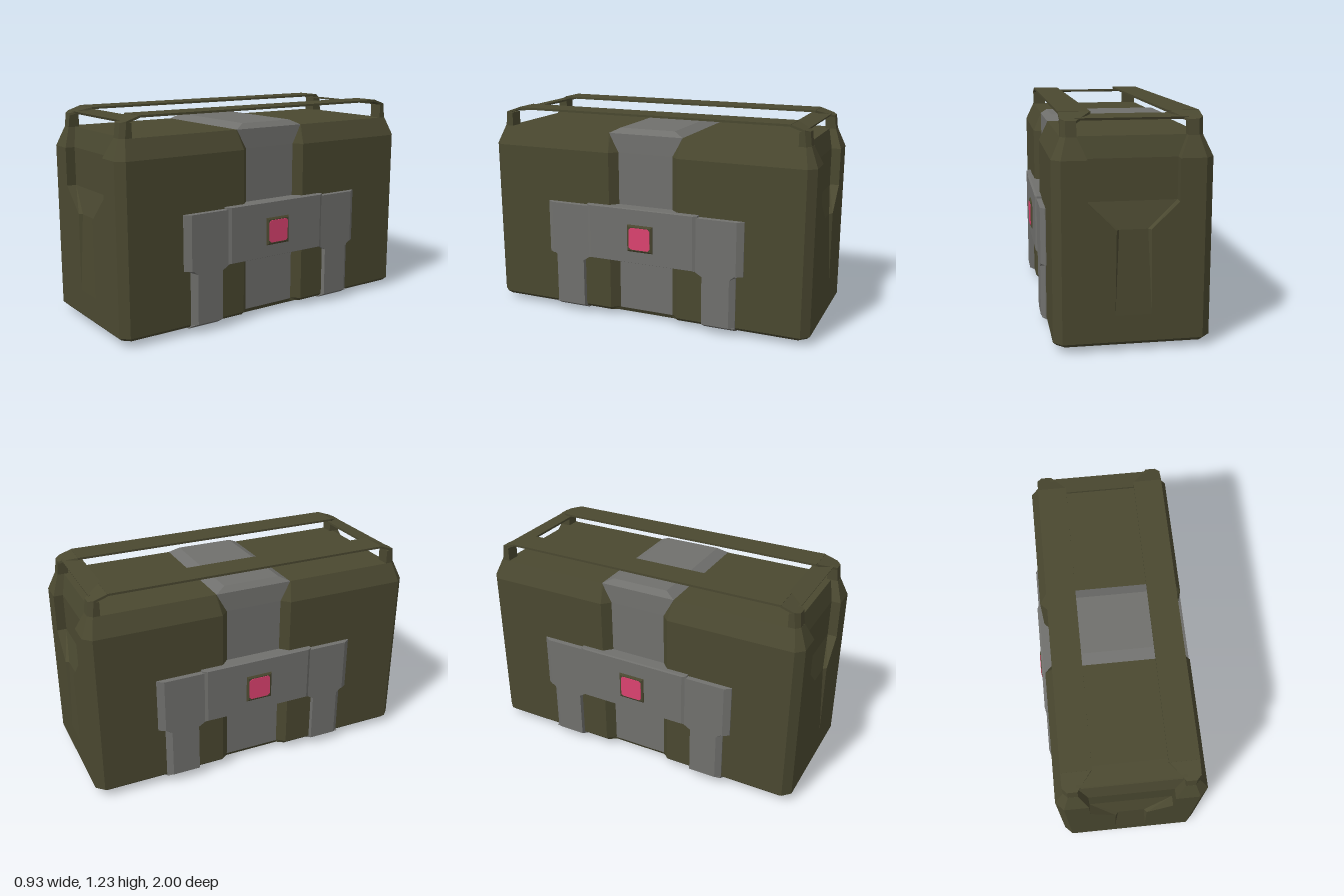
import * as THREE from 'three';
import { ConvexGeometry } from 'three/addons/geometries/ConvexGeometry.js';

const mat = (name, color) => Object.assign(new THREE.MeshStandardMaterial({ color }), { name });

export function createModel() {
  const olive = mat('olive shell', 0x4a4830);
  const grey = mat('grey metal', 0x70706d);
  const pink = mat('pink light', 0xdc4270);
  const model = new THREE.Group();

  const add = (name, geometry, material, parent = model) => {
    const mesh = new THREE.Mesh(geometry, material);
    mesh.name = name;
    parent.add(mesh);
    return mesh;
  };
  // Convex solid from corner points, mirrored by sx and sz
  const hull = (name, pts, material, sx = 1, sz = 1) =>
    add(name, new ConvexGeometry(pts.map(([x, y, z]) => new THREE.Vector3(x * sx, y, z * sz))), material);
  // Frustum between two rectangles stacked in y: [y, halfX, halfZ]
  const slab = (name, levels, material) => hull(name, levels.flatMap(([y, x, z]) =>
    [[x, y, z], [-x, y, z], [x, y, -z], [-x, y, -z]]), material);
  // Plate on the side: rectangle rows [x, y0, y1, z0, z1], from inside to outside
  const sidePlate = (name, rows, material, sx, sz = 1) => hull(name, rows.flatMap(([x, y0, y1, z0, z1]) =>
    [[x, y0, z0], [x, y1, z0], [x, y0, z1], [x, y1, z1]]), material, sx, sz);

  // Shell half: one quarter of the skin, mirrored in x
  const pos = [];
  const tri = (...p) => p.forEach(v => pos.push(...v));
  const poly = (...p) => {
    for (let i = 1; i < p.length - 1; i++) {
      const t = [p[0], p[i], p[i + 1]];
      tri(...t);
      tri(...t.map(([x, y, z]) => [-x, y, z]).reverse());
    }
  };
  // Levels: y, half width, end z, corner cut, notch x, notch z, notch lip z
  const rings = [
    [0.035, 0.395, 0.98, 0.04, 0.365, 0.17, 0.215],
    [0.055, 0.415, 1.0, 0.045, 0.37, 0.17, 0.215],
    [1.01, 0.415, 1.0, 0.045, 0.37, 0.17, 0.215],
    [1.12, 0.365, 0.955, 0.025, 0.36, 0.225, 0.235],
  ].map(([y, hx, hz, c, nx, nz, lip]) => [[nx, y, nz], [hx, y, lip], [hx, y, hz - c], [hx - c, y, hz]]);
  for (let l = 0; l < 3; l++) for (let k = 0; k < 3; k++)
    poly(rings[l][k + 1], rings[l][k], rings[l + 1][k], rings[l + 1][k + 1]);
  const [b, a0, a1, a2] = rings.map(r => r[3]);
  // Recess outline (r), recess floor (i) and shallow groove (g) on the end
  const r0 = [0.09, 0.65, 1], r1 = [0.235, 0.79, 1], r2 = [0.235, 1.01, 1], r3 = [0.285, 1.12, 0.955];
  const i1 = [0.235, 0.79, 0.945], i2 = [0.235, 1.01, 0.945], i3 = [0.285, 1.12, 0.915];
  const g0 = [0.075, 0.65, 0.982], g1 = [0.095, 0.2, 1];
  const mid = ([, y, z]) => [0, y, z];
  poly(mid(b), b, a0, mid(a0));
  poly(mid(a0), a0, g1, mid(g1));
  poly(a0, r0, g1);
  poly(a0, r1, r0);
  poly(a0, a1, r2, r1);
  poly(a1, a2, r3, r2);
  poly(mid(g1), g1, g0, mid(g0));
  poly(g1, r0, g0);
  poly(mid(g0), g0, i1, mid(i1));
  poly(g0, r0, i1);
  poly(r0, r1, i1);
  poly(i1, r1, r2, i2);
  poly(i2, r2, r3, i3);
  poly(mid(i1), i1, i2, mid(i2));
  poly(mid(i2), i2, i3, mid(i3));
  // Lid and underside
  const top = rings[3], low = rings[0];
  poly(i3, r3, top[3], top[2], top[1], top[0], mid(top[0]), mid(i3));
  poly(mid(low[0]), low[0], low[1], low[2], low[3], mid(low[3]));
  const shell = new THREE.BufferGeometry();
  shell.setAttribute('position', new THREE.Float32BufferAttribute(pos, 3));
  shell.computeVertexNormals();
  add('frontShell', shell, olive);
  add('backShell', shell, olive).rotation.y = Math.PI;

  // Belt around the middle
  slab('belt', [[0.05, 0.37, 0.172], [1.01, 0.37, 0.172]], grey);
  slab('beltTop', [[1.01, 0.37, 0.172], [1.12, 0.367, 0.23], [1.15, 0.335, 0.17]], grey);

  // Underside
  slab('keel', [[0.06, 0.37, 0.38], [0.022, 0.35, 0.38]], olive);
  hull('footPad', [[0.022, 0.3, 0.48, 0.38], [0.003, 0.21, 0.48, 0.4]].flatMap(([y, x, z, zc]) =>
    [-1, 1].flatMap(s => [-1, 1].flatMap(t => [[s * x, y, t * zc], [s * x * 0.75, y, t * z]]))), olive);
  for (const s of [-1, 1])
    hull('underStrap', [[0.055, 0.44], [0.022, 0.385]].flatMap(([y, x]) =>
      [[x, y, 0.38], [-x, y, 0.38], [x, y, 0.575], [-x, y, 0.575]]), grey, 1, s);

  for (const sx of [-1, 1]) {
    // Side bracket
    sidePlate('bracketCentre', [[0.368, 0.37, 0.7, -0.35, 0.35], [0.44, 0.37, 0.7, -0.35, 0.35],
      [0.452, 0.375, 0.697, -0.325, 0.325]], grey, sx);
    for (const sz of [-1, 1]) {
      sidePlate('bracketWing', [[0.4, 0.37, 0.69, 0.33, 0.62], [0.42, 0.37, 0.69, 0.33, 0.62],
        [0.444, 0.37, 0.688, 0.33, 0.583]], grey, sx, sz);
      sidePlate('bracketLeg', [[0.4, 0.045, 0.38, 0.38, 0.577], [0.42, 0.05, 0.38, 0.38, 0.577],
        [0.444, 0.056, 0.38, 0.38, 0.545]], grey, sx, sz);
      hull('bracketGusset', [0.4, 0.444].flatMap(x =>
        [[x, 0.375, 0.33], [x, 0.375, 0.61 - (x - 0.4) * 0.7], [x, 0.345, 0.38], [x, 0.345, 0.575 - (x - 0.4) * 0.7]]),
      grey, sx, sz);

      // Handle post, its sloping cap
      hull('handlePost', [0.285, 0.365].flatMap(x =>
        [[x, 1.115, 0.89], [x - (x > 0.3 ? 0.025 : 0), 1.115, 0.955], [x, 1.115, 0.93],
          [x, 1.2, 0.89], [x - (x > 0.3 ? 0.025 : 0), 1.2, 0.945], [x, 1.2, 0.92]]), olive, sx, sz);
      hull('handleCap', [[0.2, 0.84, 1.236], [0.365, 0.84, 1.236], [0.285, 0.925, 1.207],
        [0.365, 0.92, 1.209], [0.34, 0.945, 1.2], [0.285, 0.945, 1.2]].flatMap(([x, z, y]) =>
        [[x, y, z], [x, y - 0.013, z]]), olive, sx, sz);
    }
    // Long top rail
    const rail = add('handleRail', new THREE.BoxGeometry(0.165, 0.012, 1.69), olive);
    rail.position.set(sx * 0.2825, 1.23, 0);

    // Button frame and light
    sidePlate('buttonFrame', [[0.44, 0.445, 0.607, -0.08, 0.08], [0.455, 0.445, 0.607, -0.08, 0.08],
      [0.462, 0.455, 0.597, -0.07, 0.07]], olive, sx);
    const w = 0.066, c = 0.012;
    hull('buttonLight', [0.458, 0.465].flatMap(x => [-1, 1].flatMap(s => [-1, 1].flatMap(t =>
      [[x, 0.526 + s * w, t * (w - c)], [x, 0.526 + s * (w - c), t * w]]))), pink, sx);
  }

  // Thin crossbars joining the posts
  for (const sz of [-1, 1])
    hull('crossbar', [-0.29, 0.29].flatMap(x => [[x, 1.222, 0.82], [x, 1.21, 0.82],
      [x, 1.21, 0.925], [x, 1.198, 0.92]]), olive, 1, sz);

  return model;
}
